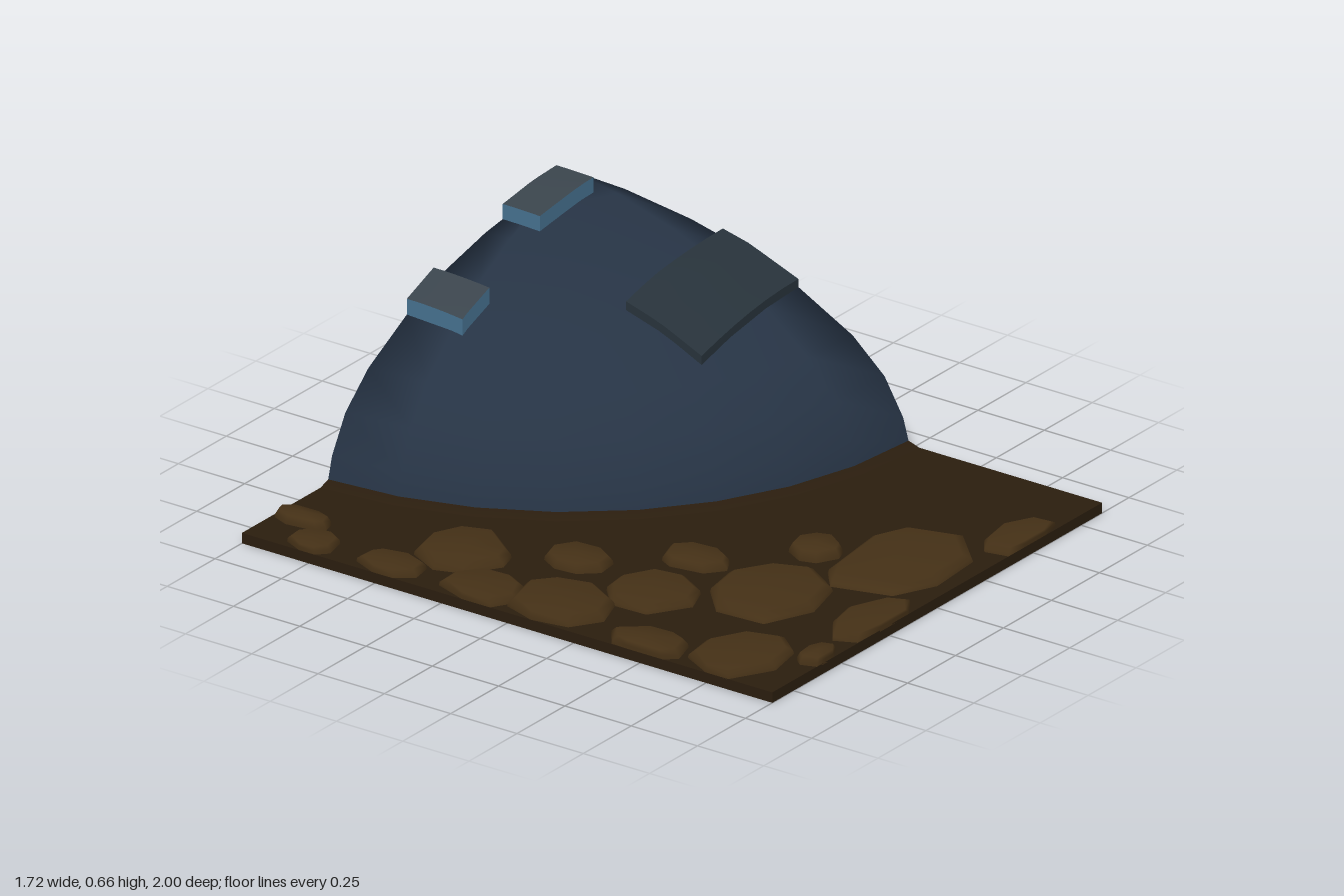
import * as THREE from 'three';

const HX = 0.86, HZ = 1, GROUND = 0.035;
const mat = (color) => new THREE.MeshStandardMaterial({ color });

// Height profiles [radius, y], measured from the back left corner
const DOME = [[0, 0.615], [0.2, 0.607], [0.45, 0.573], [0.67, 0.522], [0.86, 0.45],
  [1.06, 0.345], [1.18, 0.24], [1.25, 0.12], [1.27, 0.048]];
const MOUND = [[0, 0.085], [0.6, 0.081], [1.0, 0.065], [1.27, 0.048], [1.31, GROUND]];

function heightAt(profile, r) {
  for (let i = 1; i < profile.length; i++) {
    const [r0, y0] = profile[i - 1], [r1, y1] = profile[i];
    if (r <= r1) return y0 + (y1 - y0) * (r - r0) / (r1 - r0);
  }
  return profile[profile.length - 1][1];
}

function makeGeometry(pos, idx) {
  const g = new THREE.BufferGeometry();
  g.setAttribute('position', new THREE.Float32BufferAttribute(pos, 3));
  g.setIndex(idx);
  g.computeVertexNormals();
  return g;
}

// Quarter of a turned solid with its two flat cut faces closed down to floor(r)
function quarterSolid(profile, floor, seg = 8) {
  const pos = [], idx = [], n = profile.length;
  const put = (r, y, j) => {
    const a = j / seg * Math.PI / 2;
    pos.push(HX - r * Math.cos(a), y, -HZ + r * Math.sin(a));
  };
  for (const [r, y] of profile) for (let j = 0; j <= seg; j++) put(r, y, j);
  const top = (i, j) => (i === 0 ? 0 : i * (seg + 1) + j);
  const base = n * (seg + 1);
  for (const j of [0, seg]) for (const [r] of profile) put(r, floor(r), j);
  for (let i = 0; i < n - 1; i++) {
    for (let j = 0; j < seg; j++) {
      idx.push(top(i, j), top(i + 1, j), top(i + 1, j + 1));
      if (i > 0) idx.push(top(i, j), top(i + 1, j + 1), top(i, j + 1));
    }
    const b = base + i, c = base + n + i;
    idx.push(b, b + 1, top(i + 1, 0), b, top(i + 1, 0), top(i, 0));
    idx.push(c, top(i + 1, seg), c + 1, c, top(i, seg), top(i + 1, seg));
  }
  return makeGeometry(pos, idx);
}

// Plate draped over the dome: raised top sheet and a vertical rim
function drapedPlate(name, x0, x1, z0, z1, lift, topMat, rimMat) {
  const N = 6, pos = [], idx = [];
  const point = (u, v, dy) => {
    const x = x0 + (x1 - x0) * u, z = z0 + (z1 - z0) * v;
    return [x, heightAt(DOME, Math.hypot(HX - x, z + HZ)) + dy, z];
  };
  for (let i = 0; i <= N; i++) for (let j = 0; j <= N; j++) pos.push(...point(i / N, j / N, lift));
  for (let i = 0; i < N; i++) for (let j = 0; j < N; j++) {
    const a = i * (N + 1) + j, b = a + N + 1;
    idx.push(a, a + 1, b + 1, a, b + 1, b);
  }
  const rimPos = [], rimIdx = [];
  const corners = [[0, 0], [0, 1], [1, 1], [1, 0]];
  corners.forEach(([u0, v0], k) => {
    const [u1, v1] = corners[(k + 1) % 4], start = rimPos.length / 3;
    for (let i = 0; i <= N; i++) {
      const t = i / N, u = u0 + (u1 - u0) * t, v = v0 + (v1 - v0) * t;
      rimPos.push(...point(u, v, -0.01), ...point(u, v, lift));
      const a = start + i * 2;
      if (i < N) rimIdx.push(a, a + 2, a + 3, a, a + 3, a + 1);
    }
  });
  const group = new THREE.Group();
  group.name = name;
  const sheet = new THREE.Mesh(makeGeometry(pos, idx), topMat);
  const rim = new THREE.Mesh(makeGeometry(rimPos, rimIdx), rimMat);
  sheet.name = name + 'Top';
  rim.name = name + 'Rim';
  group.add(sheet, rim);
  return group;
}

// Low bevelled cobble; corners past the slab are clamped to its edge
function cobble(cx, cz, rx, rz, seed) {
  const rand = (k) => { const s = Math.sin(seed * 12.99 + k * 78.23) * 43758.55; return s - Math.floor(s); };
  const S = 8, pos = [], idx = [];
  const height = 0.062 + 0.012 * rand(20);
  const rings = [[1, GROUND - 0.005], [0.97, GROUND + 0.012], [0.84, height - 0.006]];
  const clamp = THREE.MathUtils.clamp;
  for (const [s, y] of rings) for (let k = 0; k < S; k++) {
    const a = (k + 0.5 * rand(k)) / S * Math.PI * 2, q = s * (0.96 + 0.1 * rand(k + 9));
    pos.push(clamp(cx + rx * q * Math.cos(a), -HX, HX), y, clamp(cz + rz * q * Math.sin(a), -HZ, HZ));
  }
  pos.push(clamp(cx, -HX, HX), height, clamp(cz, -HZ, HZ));
  for (let k = 0; k < S; k++) {
    const m = (k + 1) % S;
    for (let r = 0; r < 2; r++) {
      const a = r * S + k, b = r * S + m;
      idx.push(a, a + S, b + S, a, b + S, b);
    }
    idx.push(2 * S + k, 3 * S, 2 * S + m);
  }
  return makeGeometry(pos, idx);
}

export function createModel() {
  const model = new THREE.Group();
  const soil = mat(0x2a1d0e), stone = mat(0x443016), hull = mat(0x263344);
  const plateTop = mat(0x3a444c), plateRim = mat(0x45708e), darkPlate = mat(0x27323a);
  const add = (name, geometry, material) => {
    const mesh = new THREE.Mesh(geometry, material);
    mesh.name = name;
    model.add(mesh);
    return mesh;
  };

  // Ground slab, soil mound and quarter dome
  add('groundSlab', new THREE.BoxGeometry(2 * HX, GROUND, 2 * HZ), soil).position.y = GROUND / 2;
  add('soilMound', quarterSolid(MOUND, () => GROUND), soil);
  add('dome', quarterSolid(DOME, (r) => heightAt(MOUND, r)), hull);

  // Raised plates on the dome
  model.add(
    drapedPlate('smallPlate', 0, 0.14, -1, -0.79, 0.053, plateTop, plateRim),
    drapedPlate('topPlate', 0.5, 0.78, -1, -0.86, 0.051, plateTop, plateRim),
    drapedPlate('frontPlate', 0.355, HX, -0.43, -0.145, 0.028, darkPlate, darkPlate),
  );

  // Cobbles: centre x, z and half sizes
  const cobbles = [
    [-0.68, -0.9, 0.05, 0.11], [-0.8, -0.775, 0.08, 0.085], [-0.79, -0.485, 0.08, 0.115],
    [-0.585, -0.36, 0.155, 0.15], [-0.77, -0.16, 0.12, 0.14], [-0.72, 0.1, 0.16, 0.18],
    [-0.43, -0.045, 0.09, 0.115], [-0.49, 0.28, 0.15, 0.15], [-0.215, 0.245, 0.085, 0.115],
    [-0.8, 0.495, 0.09, 0.145], [-0.71, 0.77, 0.18, 0.15], [-0.285, 0.575, 0.215, 0.185],
    [0.055, 0.505, 0.085, 0.085], [0.14, 0.76, 0.28, 0.19], [-0.26, 0.94, 0.18, 0.1],
    [-0.575, 0.97, 0.075, 0.06], [0.5, 0.95, 0.15, 0.09],
  ];
  const path = new THREE.Group();
  path.name = 'cobbles';
  cobbles.forEach((c, i) => {
    const mesh = new THREE.Mesh(cobble(...c, i + 1), stone);
    mesh.name = 'cobble';
    path.add(mesh);
  });
  model.add(path);
  return model;
}
